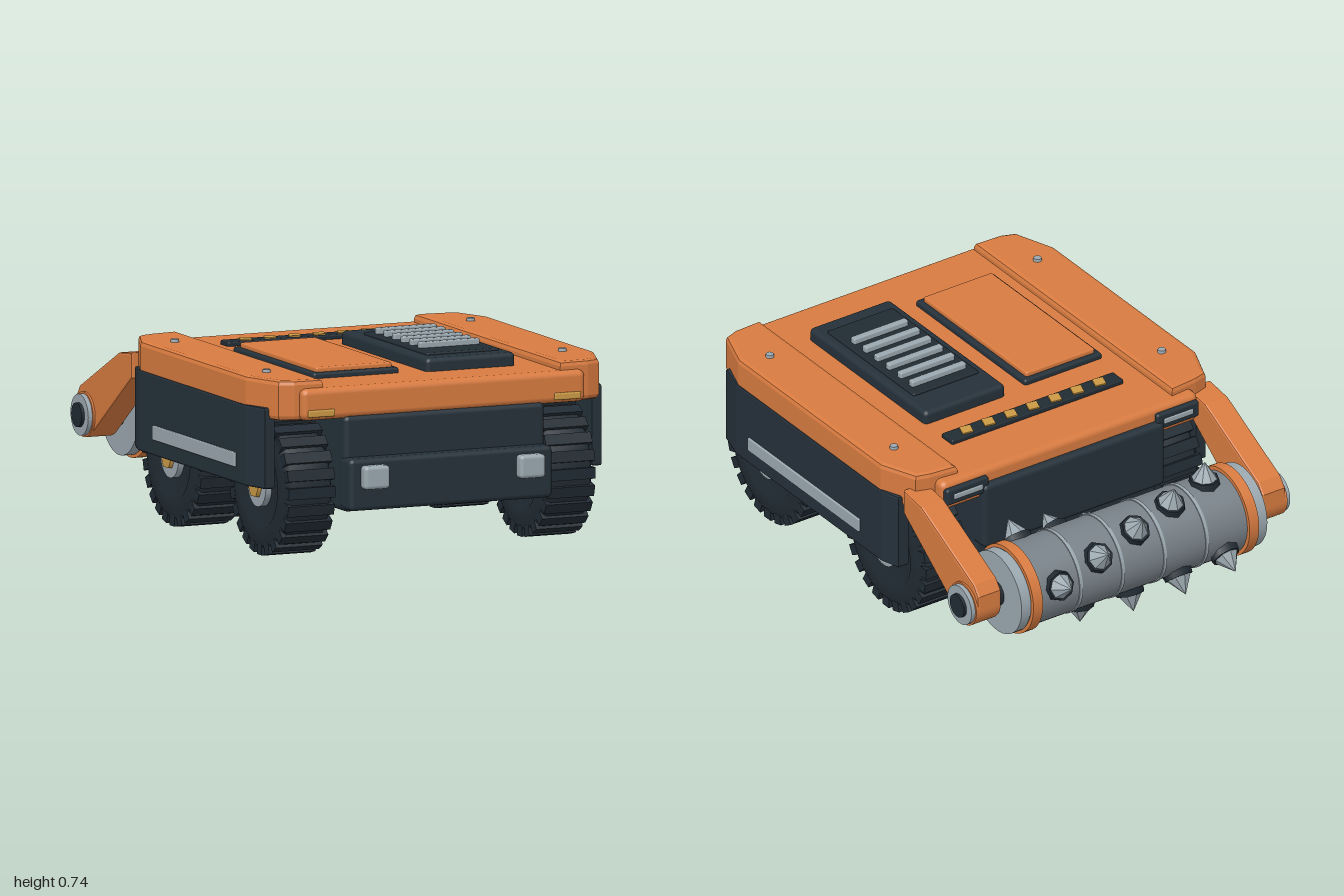
import * as THREE from 'three';
import { RoundedBoxGeometry } from 'three/addons/geometries/RoundedBoxGeometry.js';

const paint = (name, color, flatShading = false) => {
  const m = new THREE.MeshStandardMaterial({ color, flatShading });
  m.name = name;
  return m;
};

export function createModel() {
  const root = new THREE.Group();
  const orange = paint('orange', 0xd87b40);
  const dark = paint('darkPanel', 0x25313a);
  const rubber = paint('rubber', 0x212b33);
  const silver = paint('silver', 0x9ba8b0);
  const steel = paint('drumSteel', 0x798289);
  const yellow = paint('amber', 0xcc9a45);

  const add = (name, geo, mat, x = 0, y = 0, z = 0, parent = root) => {
    const m = new THREE.Mesh(geo, mat);
    m.name = name;
    m.position.set(x, y, z);
    parent.add(m);
    return m;
  };
  // Rounded box given by its limits
  const box = (name, mat, [x0, x1], [y0, y1], [z0, z1], r = 0.01, parent = root) =>
    add(name, new RoundedBoxGeometry(x1 - x0, y1 - y0, z1 - z0, 2, r), mat,
      (x0 + x1) / 2, (y0 + y1) / 2, (z0 + z1) / 2, parent);
  const span = (c, w) => [c - w / 2, c + w / 2];
  // Cylinder lying along x
  const disc = (name, mat, r, x0, x1, y, z, sides = 40, parent = root) =>
    add(name, new THREE.CylinderGeometry(r, r, Math.abs(x1 - x0), sides).rotateZ(Math.PI / 2), mat,
      (x0 + x1) / 2, y, z, parent);
  const outline = (pts) => new THREE.Shape(pts.map(([a, b]) => new THREE.Vector2(a, b)));
  const extrude = (shape, depth, bevel) => new THREE.ExtrudeGeometry(shape, {
    depth: depth - 2 * bevel, bevelEnabled: bevel > 0, bevelThickness: bevel,
    bevelSize: bevel, bevelOffset: -bevel, bevelSegments: 2, curveSegments: 16,
  }).translate(0, 0, bevel);
  // Plan outline in (x, z), standing between two heights
  const plan = (name, mat, pts, y0, y1, bevel) =>
    add(name, extrude(outline(pts), y1 - y0, bevel).rotateX(Math.PI / 2), mat, 0, y1, 0);

  // Chassis, bumper and headlights
  box('chassis', dark, [-0.41, 0.41], [0.185, 0.545], [-0.42, 0.9], 0.02);
  box('rearBlock', dark, [-0.41, 0.41], [0.33, 0.6], [-0.478, -0.36], 0.02);
  box('frontBumper', dark, [-0.415, 0.415], [0.195, 0.39], [0.86, 0.957], 0.018);
  for (const s of [-1, 1])
    box('headlight', silver, span(s * 0.318, 0.105), [0.278, 0.366], [0.94, 0.995], 0.015);

  // Deck
  box('deck', orange, [-0.58, 0.58], [0.535, 0.655], [-0.45, 0.895], 0.025);

  // Access hatch
  box('hatchFrame', dark, [-0.43, -0.08], [0.64, 0.676], [-0.04, 0.67], 0.01);
  box('hatchLid', orange, [-0.41, -0.1], [0.66, 0.694], [-0.02, 0.65], 0.008);

  // Vent with slats
  box('ventBase', dark, [0.02, 0.385], [0.64, 0.705], [-0.06, 0.695], 0.018);
  box('ventTray', rubber, [0.055, 0.35], [0.69, 0.714], [0.065, 0.625], 0.006);
  for (let i = 0; i < 6; i++)
    box('ventSlat', silver, [0.08, 0.325], [0.705, 0.736], span(0.122 + i * 0.075, 0.028), 0.006);

  // Hazard strip
  box('hazardStrip', rubber, [-0.39, 0.385], [0.64, 0.672], [-0.235, -0.165], 0.006);
  for (let i = 0; i < 7; i++) {
    const x = -0.303 + i * 0.1;
    plan('hazardMark', yellow, [[x - 0.014, -0.227], [x + 0.03, -0.22], [x + 0.014, -0.173],
      [x - 0.03, -0.18]], 0.67, 0.677, 0);
  }

  // Parts repeated on both sides
  for (const s of [-1, 1]) {
    const mirror = (pts) => pts.map(([x, z]) => [s * x, z]);
    plan('sidePod', orange, mirror([[0.485, -0.412], [0.6, -0.4], [0.655, -0.385], [0.714, -0.24],
      [0.714, 0.68], [0.655, 0.845], [0.6, 0.865], [0.485, 0.87]]), 0.535, 0.687, 0.018);
    plan('sideSkirt', dark, mirror([[0.65, -0.33], [0.694, -0.33], [0.718, -0.25], [0.718, 0.69],
      [0.688, 0.797], [0.65, 0.797]]), 0.275, 0.58, 0.008);
    box('skirtStripe', silver, span(s * 0.717, 0.018), [0.335, 0.39], [-0.115, 0.605], 0.004);
    for (const z of [-0.172, 0.632])
      add('bolt', new THREE.CylinderGeometry(0.015, 0.018, 0.02, 12), silver, s * 0.605, 0.688, z);
    box('markerLight', yellow, span(s * 0.503, 0.108), [0.549, 0.576], [0.88, 0.904], 0.006);
    box('rearLightHousing', dark, span(s * 0.475, 0.19), [0.565, 0.632], [-0.468, -0.43], 0.01);
    box('rearLight', silver, span(s * 0.475, 0.13), [0.588, 0.61], [-0.474, -0.455], 0.004);

    // Wheels
    for (const z of [0.615, -0.15]) {
      const wheel = new THREE.Group();
      wheel.name = 'wheel';
      wheel.position.set(s * 0.532, 0.262, z);
      root.add(wheel);
      const profile = [[0.06, -0.08], [0.15, -0.085], [0.165, -0.098], [0.225, -0.094], [0.25, -0.075],
        [0.25, 0.075], [0.225, 0.094], [0.165, 0.098], [0.15, 0.085], [0.06, 0.08]];
      add('tyre', new THREE.LatheGeometry(profile.map(([r, h]) => new THREE.Vector2(r, h)), 48)
        .rotateZ(-Math.PI / 2), rubber, 0, 0, 0, wheel);
      for (let i = 0; i < 24; i++) {
        const a = (i / 24) * Math.PI * 2;
        const lug = add('treadLug', new THREE.BoxGeometry(0.19, 0.04, 0.042), rubber,
          0, Math.cos(a) * 0.241, Math.sin(a) * 0.241, wheel);
        lug.rotation.x = a;
      }
      disc('rim', silver, 0.08, -s * 0.09, s * 0.105, 0, 0, 32, wheel);
      disc('hubNut', yellow, 0.046, s * 0.1, s * 0.12, 0, 0, 6, wheel);
      disc('axle', dark, 0.05, -s * 0.15, -s * 0.08, 0, 0, 16, wheel);
    }

    // Roller arm, outlined in (-z, y)
    const arm = outline([[0.36, 0.53], [0.36, 0.625], [0.475, 0.61], [0.815, 0.44], [0.845, 0.4]]);
    arm.absarc(0.762, 0.338, 0.085, 0, -Math.PI * 0.7, true);
    add('rollerArm', extrude(arm, 0.105, 0.008).rotateY(Math.PI / 2), orange, s > 0 ? 0.59 : -0.695);
    disc('armBoss', orange, 0.085, s * 0.6, s * 0.703, 0.338, -0.762);
    disc('armHub', silver, 0.078, s * 0.69, s * 0.72, 0.338, -0.762);
    disc('armPin', rubber, 0.046, s * 0.7, s * 0.732, 0.338, -0.762, 24);
  }

  // Spiked roller
  const roller = new THREE.Group();
  roller.name = 'spikedRoller';
  roller.position.set(0, 0.338, -0.765);
  root.add(roller);
  disc('drum', steel, 0.16, -0.53, 0.53, 0, 0, 48, roller);
  disc('shaft', rubber, 0.05, -0.62, 0.62, 0, 0, 20, roller);
  for (const s of [-1, 1]) {
    disc('drumCap', silver, 0.163, s * 0.515, s * 0.555, 0, 0, 48, roller);
    disc('drumBand', orange, 0.175, s * 0.467, s * 0.51, 0, 0, 48, roller);
  }
  for (const x of [-0.285, -0.095, 0.095, 0.285])
    disc('drumRib', silver, 0.164, x - 0.007, x + 0.007, 0, 0, 48, roller);

  // Three spikes per row, each row turned a little further
  const spikeMetal = paint('spikeMetal', 0x9ba8b0, true);
  for (let row = 0; row < 5; row++) {
    for (let k = 0; k < 3; k++) {
      const spike = new THREE.Group();
      spike.name = 'spike';
      spike.position.x = -0.38 + row * 0.19;
      spike.rotation.x = -THREE.MathUtils.degToRad(2 + row * 18 + k * 120);
      roller.add(spike);
      add('spikeCollar', new THREE.CylinderGeometry(0.056, 0.062, 0.04, 8), rubber, 0, 0.157, 0, spike);
      add('spikeTip', new THREE.ConeGeometry(0.053, 0.076, 8), spikeMetal, 0, 0.208, 0, spike);
    }
  }
  return root;
}
